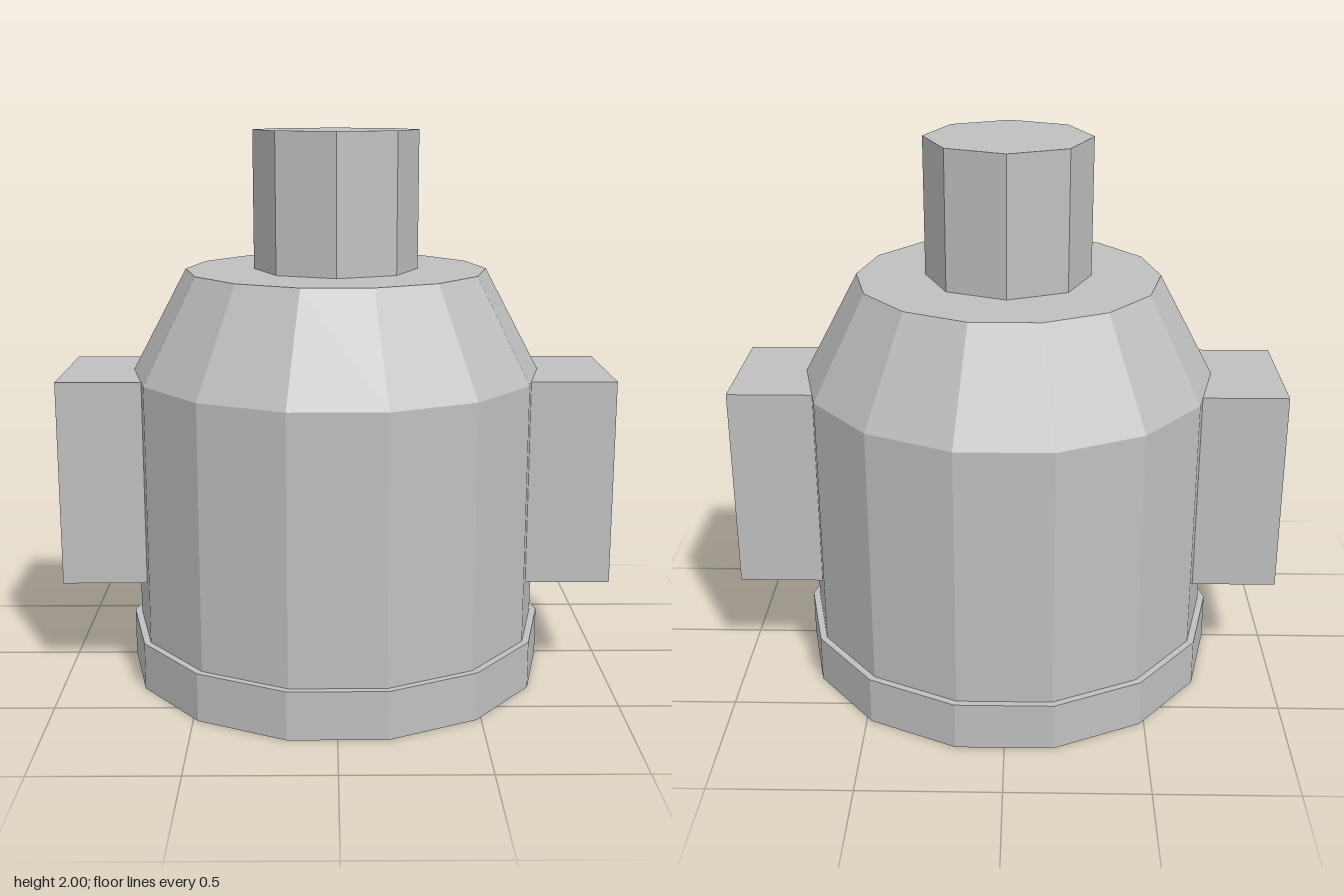
import * as THREE from 'three';

const SIDES = 14;

export function createModel() {
  const model = new THREE.Group();
  const grey = new THREE.MeshStandardMaterial({ color: 0xc0c0c0, flatShading: true });
  grey.name = 'plain grey';

  const add = (name, geometry, x = 0, y = 0) => {
    const mesh = new THREE.Mesh(geometry, grey);
    mesh.name = name;
    mesh.position.set(x, y, 0);
    model.add(mesh);
    return mesh;
  };

  // Faceted turned part with a corner on the x axis
  const turned = (points) =>
    new THREE.LatheGeometry(points.map(([r, y]) => new THREE.Vector2(r, y)), SIDES).rotateY(Math.PI / 2);

  // Tank with sloped shoulder, closed at top and underside
  add('tankBody', turned([[0, 0.175], [0.75, 0.175], [0.75, 1.125], [0.55, 1.5], [0, 1.5]]));

  // Thin open band that the tank stands on
  add('baseRing', turned([[0.75, 0.175], [0.75, 0], [0.775, 0], [0.775, 0.175], [0.75, 0.175]]));

  // Eight-sided neck
  add('neck', new THREE.CylinderGeometry(0.3, 0.3, 0.5, 8), 0, 1.75);

  // Matching side blocks, sunk slightly into the tank
  for (const [name, side] of [['leftBlock', 1], ['rightBlock', -1]]) {
    add(name, new THREE.BoxGeometry(0.35, 0.75, 0.5), side * 0.825, 0.75);
  }

  return model;
}
